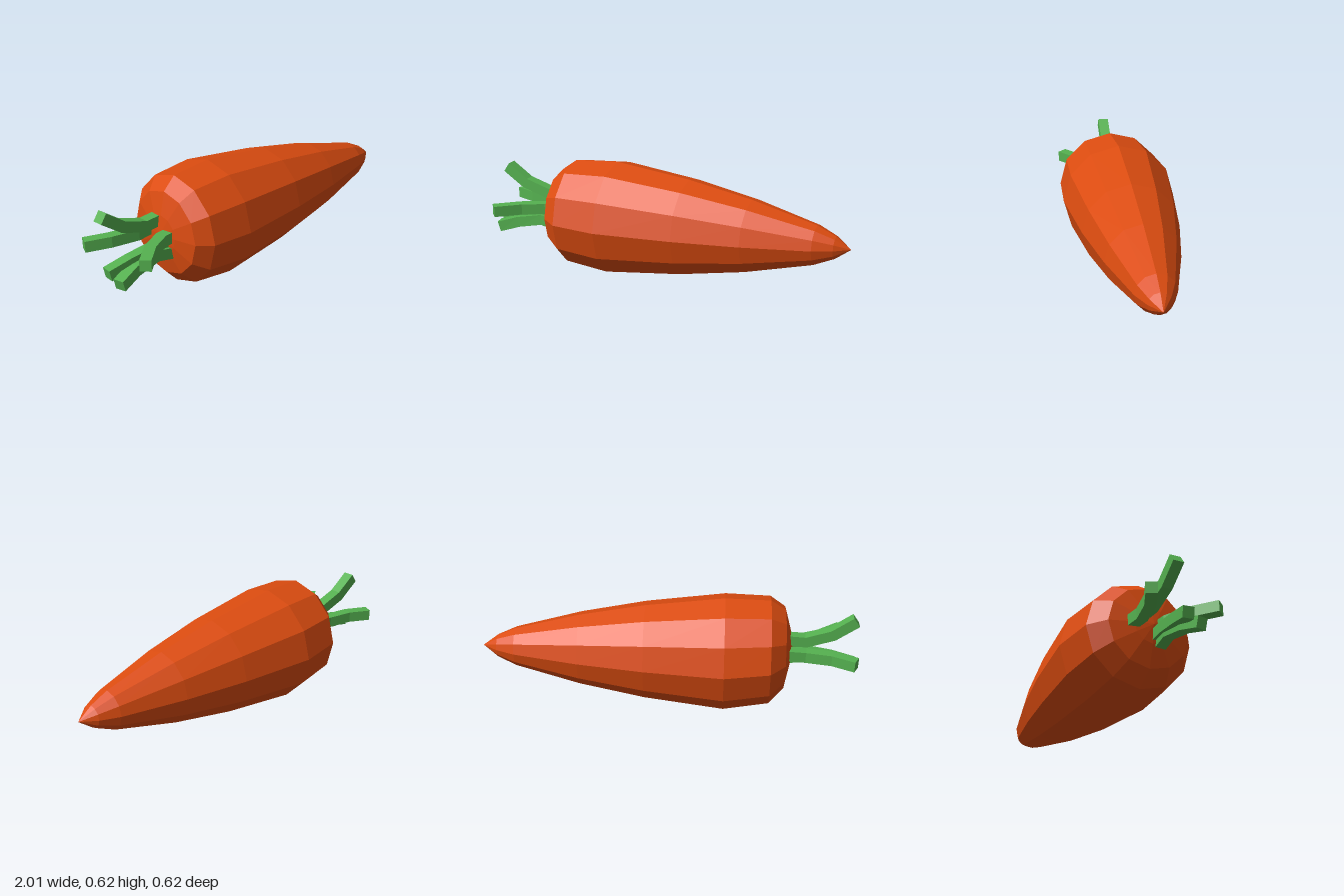
import * as THREE from 'three';

const orange = new THREE.MeshStandardMaterial({ name: 'carrotOrange', color: 0xdc4c10, flatShading: true });
const green = new THREE.MeshStandardMaterial({ name: 'stemGreen', color: 0x55b150, flatShading: true });

// Root: twelve-sided lathe laid along x; the shoulder leans slightly off axis
function makeRoot() {
  const profile = [
    [-0.665, 0], [-0.65, 0.1], [-0.62, 0.22], [-0.54, 0.288], [-0.3, 0.31], [0.12, 0.26],
    [0.47, 0.195], [0.82, 0.105], [0.92, 0.06], [1, 0],
  ].map(([x, r]) => new THREE.Vector2(r, x));
  const geo = new THREE.LatheGeometry(profile, 12);
  geo.rotateZ(-Math.PI / 2);
  const p = geo.attributes.position;
  for (let i = 0; i < p.count; i++) {
    const x = p.getX(i);
    const lean = THREE.MathUtils.clamp((-0.46 - x) / 0.16, 0, 1.3);
    p.setXYZ(i, x, p.getY(i) + 0.31 + 0.018 * lean, p.getZ(i) + 0.028 * lean);
  }
  geo.computeVertexNormals();
  const mesh = new THREE.Mesh(geo, orange);
  mesh.name = 'root';
  return mesh;
}

// Stem: square section swept along a bent path, with closed ends
function makeStem(path, name, size = 0.058) {
  const pts = path.map((p) => new THREE.Vector3(...p));
  const pos = [], index = [];
  pts.forEach((p, i) => {
    const dir = pts[Math.min(i + 1, pts.length - 1)].clone().sub(pts[Math.max(i - 1, 0)]).normalize();
    const side = dir.clone().cross(new THREE.Vector3(0, 1, 0)).normalize();
    const up = side.clone().cross(dir);
    for (const [a, b] of [[-1, -1], [1, -1], [1, 1], [-1, 1]]) {
      const v = p.clone().addScaledVector(side, a * size / 2).addScaledVector(up, b * size / 2);
      pos.push(v.x, v.y, v.z);
    }
  });
  for (let i = 0; i < pts.length - 1; i++) {
    for (let k = 0; k < 4; k++) {
      const a = i * 4 + k, b = i * 4 + (k + 1) % 4;
      index.push(a, b, b + 4, a, b + 4, a + 4);
    }
  }
  const e = (pts.length - 1) * 4;
  index.push(0, 2, 1, 0, 3, 2, e, e + 1, e + 2, e, e + 2, e + 3);
  const geo = new THREE.BufferGeometry();
  geo.setAttribute('position', new THREE.Float32BufferAttribute(pos, 3));
  // The side, up, forward frame is left-handed here, so reverse if the faces point inward
  const [v0, v1, v4] = [0, 1, 4].map((k) => new THREE.Vector3().fromArray(pos, k * 3));
  const normal = v1.clone().sub(v0).cross(v4.clone().sub(v0));
  if (normal.dot(pts[0].clone().sub(v0.clone().add(v1).multiplyScalar(0.5))) > 0) index.reverse();
  geo.setIndex(index);
  geo.computeVertexNormals();
  const mesh = new THREE.Mesh(geo, green);
  mesh.name = name;
  return mesh;
}

export function createModel() {
  const model = new THREE.Group();
  model.name = 'carrot';
  model.add(makeRoot());
  const stems = {
    backStem: [[-0.6, 0.34, -0.07], [-0.73, 0.33, -0.065], [-0.87, 0.33, -0.095], [-0.988, 0.325, -0.15]],
    topStem: [[-0.6, 0.4, -0.01], [-0.73, 0.392, -0.01], [-0.87, 0.435, -0.01], [-0.987, 0.515, -0.01]],
    middleStem: [[-0.6, 0.28, 0.06], [-0.73, 0.285, 0.06], [-0.87, 0.265, 0.05], [-0.995, 0.235, 0.035]],
    lowStem: [[-0.6, 0.24, 0.08], [-0.73, 0.262, 0.075], [-0.87, 0.235, 0.085], [-0.985, 0.2, 0.11]],
    frontStem: [[-0.6, 0.335, 0.08], [-0.7, 0.335, 0.09], [-0.82, 0.335, 0.15], [-0.937, 0.335, 0.25]],
  };
  for (const [name, path] of Object.entries(stems)) model.add(makeStem(path, name));
  return model;
}
